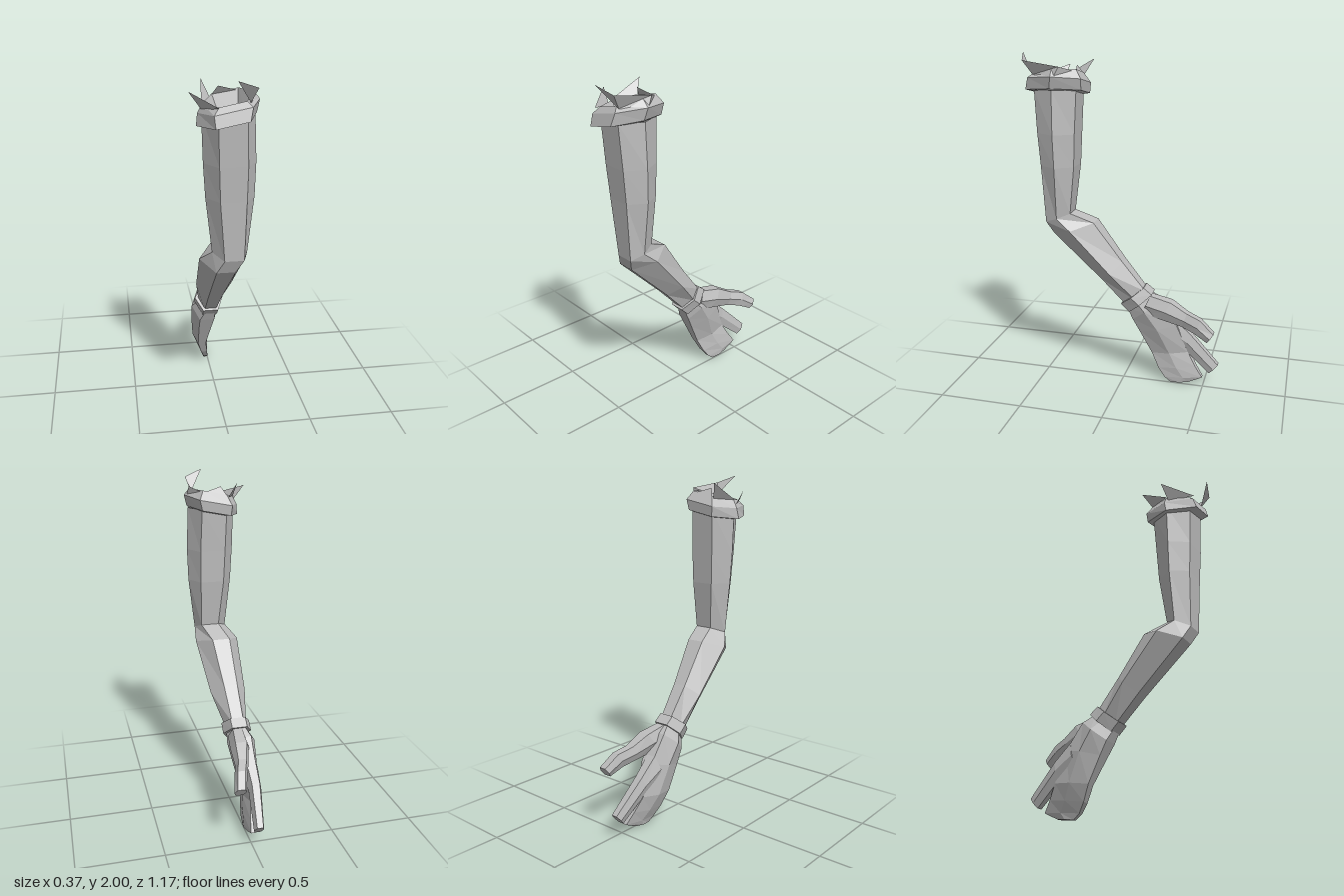
import * as THREE from 'three';

const skin = new THREE.MeshStandardMaterial({ color: 0xbdbdbd, flatShading: true, side: THREE.DoubleSide });
skin.name = 'plain grey';

// Six-sided ring spanning x0..x1 and running from edge a to edge b, each given as [z, y].
// f0, f1: where the flat edges start and end across the width; tilt: rise of y along x.
function ring(x0, x1, a, b, f0 = 0.25, f1 = 0.78, tilt = 0) {
  const lo = x0 + (x1 - x0) * f0, hi = x0 + (x1 - x0) * f1;
  const m = [(a[0] + b[0]) / 2, (a[1] + b[1]) / 2];
  return [[lo, a], [hi, a], [x1, m], [hi, b], [lo, b], [x0, m]]
    .map(([x, p]) => [x, p[1] + tilt * x, p[0]]);
}

function meshFrom(name, points, index) {
  let g = new THREE.BufferGeometry();
  g.setAttribute('position', new THREE.Float32BufferAttribute(points.flat(), 3));
  if (index) g.setIndex(index);
  g = index ? g.toNonIndexed() : g;
  g.computeVertexNormals();
  const mesh = new THREE.Mesh(g, skin);
  mesh.name = name;
  return mesh;
}

// Skin a list of rings, with optional end caps
function loft(name, rings, capStart = false, capEnd = false) {
  const n = 6, index = [], last = (rings.length - 1) * n;
  for (let r = 0; r < rings.length - 1; r++) {
    for (let i = 0; i < n; i++) {
      const p = r * n + i, p1 = r * n + (i + 1) % n;
      index.push(p, p1, p + n, p1, p1 + n, p + n);
    }
  }
  for (let i = 1; i < n - 1; i++) {
    if (capStart) index.push(0, i + 1, i);
    if (capEnd) index.push(last, last + i, last + i + 1);
  }
  return meshFrom(name, rings.flat(), index);
}

export function createModel() {
  const model = new THREE.Group();
  model.name = 'arm';

  // Upper arm, elbow and forearm as one open sleeve
  model.add(loft('armSleeve', [
    ring(-0.12, 0.16, [0.25, 1.80], [0.50, 1.80]),
    ring(-0.112, 0.17, [0.262, 1.55], [0.485, 1.55]),
    ring(-0.10, 0.165, [0.27, 1.36], [0.47, 1.36]),
    ring(-0.065, 0.13, [0.30, 1.08], [0.45, 1.02], 0.3, 0.85),
    ring(-0.125, 0.14, [0.17, 1.02], [0.415, 0.94], 0.3, 0.7),
    ring(-0.115, 0.10, [0.00, 0.78], [0.13, 0.66], 0.3, 0.68),
    ring(-0.085, 0.045, [-0.14, 0.60], [-0.02, 0.50]),
  ]));

  // Flared cuff, tilted across the shoulder
  const t = 0.2;
  model.add(loft('cuff', [
    ring(-0.05, 0.12, [0.29, 1.76], [0.45, 1.76], 0.25, 0.78, t),
    ring(-0.115, 0.15, [0.25, 1.895], [0.50, 1.87], 0.25, 0.78, t),
    ring(-0.14, 0.182, [0.215, 1.84], [0.53, 1.84], 0.2, 0.8, t),
    ring(-0.148, 0.165, [0.22, 1.78], [0.55, 1.775], 0.25, 0.8, t),
    ring(-0.11, 0.15, [0.26, 1.77], [0.49, 1.77], 0.25, 0.78, t),
  ]));

  // Torn points standing on the cuff rim
  const spikes = [
    [[0.03, 2.0, 0.585], [0.11, 1.88, 0.50], [0.14, 1.96, 0.55]],
    [[0.14, 1.96, 0.55], [0.11, 1.88, 0.50], [0.16, 1.93, 0.33]],
    [[0.11, 1.88, 0.50], [0.17, 1.87, 0.36], [0.16, 1.93, 0.33]],
    [[-0.185, 1.92, 0.375], [-0.12, 1.83, 0.39], [-0.05, 1.86, 0.53]],
    [[-0.10, 1.96, 0.20], [-0.06, 1.87, 0.25], [-0.12, 1.86, 0.38]],
    [[-0.02, 1.93, 0.28], [0.09, 1.90, 0.25], [-0.05, 1.88, 0.25]],
    [[0.16, 1.93, 0.33], [0.17, 1.87, 0.36], [0.09, 1.90, 0.25]],
  ];
  model.add(meshFrom('tornRim', spikes.flat()));

  // Band around the wrist
  model.add(loft('wristBand', [
    ring(-0.108, 0.065, [-0.13, 0.625], [0.01, 0.51]),
    ring(-0.108, 0.065, [-0.18, 0.585], [-0.04, 0.46]),
  ], true, true));

  // Palm narrowing into the curled outer fingers
  model.add(loft('palm', [
    ring(-0.08, 0.04, [-0.15, 0.585], [-0.03, 0.475]),
    ring(-0.12, 0.05, [-0.22, 0.54], [-0.06, 0.41]),
    ring(-0.115, 0.03, [-0.33, 0.39], [-0.10, 0.33]),
    ring(-0.10, -0.005, [-0.40, 0.21], [-0.175, 0.18]),
    ring(-0.07, 0.005, [-0.45, 0.125], [-0.22, 0.09]),
    ring(-0.045, 0.008, [-0.495, 0.06], [-0.26, 0.035]),
    ring(-0.035, 0.005, [-0.41, 0.018], [-0.30, 0.004]),
  ], true, true));

  // Pointing finger
  model.add(loft('indexFinger', [
    ring(-0.105, 0.0, [-0.30, 0.43], [-0.25, 0.27]),
    ring(-0.092, -0.015, [-0.41, 0.33], [-0.37, 0.23], 0.2, 0.8),
    ring(-0.06, 0.0, [-0.588, 0.15], [-0.535, 0.09], 0.2, 0.8),
  ], true, true));

  // Thumb, spread to the side
  model.add(loft('thumb', [
    ring(-0.06, 0.045, [-0.17, 0.575], [-0.12, 0.46]),
    ring(-0.05, 0.062, [-0.30, 0.55], [-0.23, 0.44], 0.2, 0.8),
    ring(-0.015, 0.065, [-0.40, 0.495], [-0.37, 0.41], 0.2, 0.8),
    ring(0.015, 0.09, [-0.485, 0.47], [-0.45, 0.385], 0.2, 0.8),
    ring(0.04, 0.112, [-0.568, 0.40], [-0.53, 0.345], 0.2, 0.8),
  ], true, true));

  return model;
}
